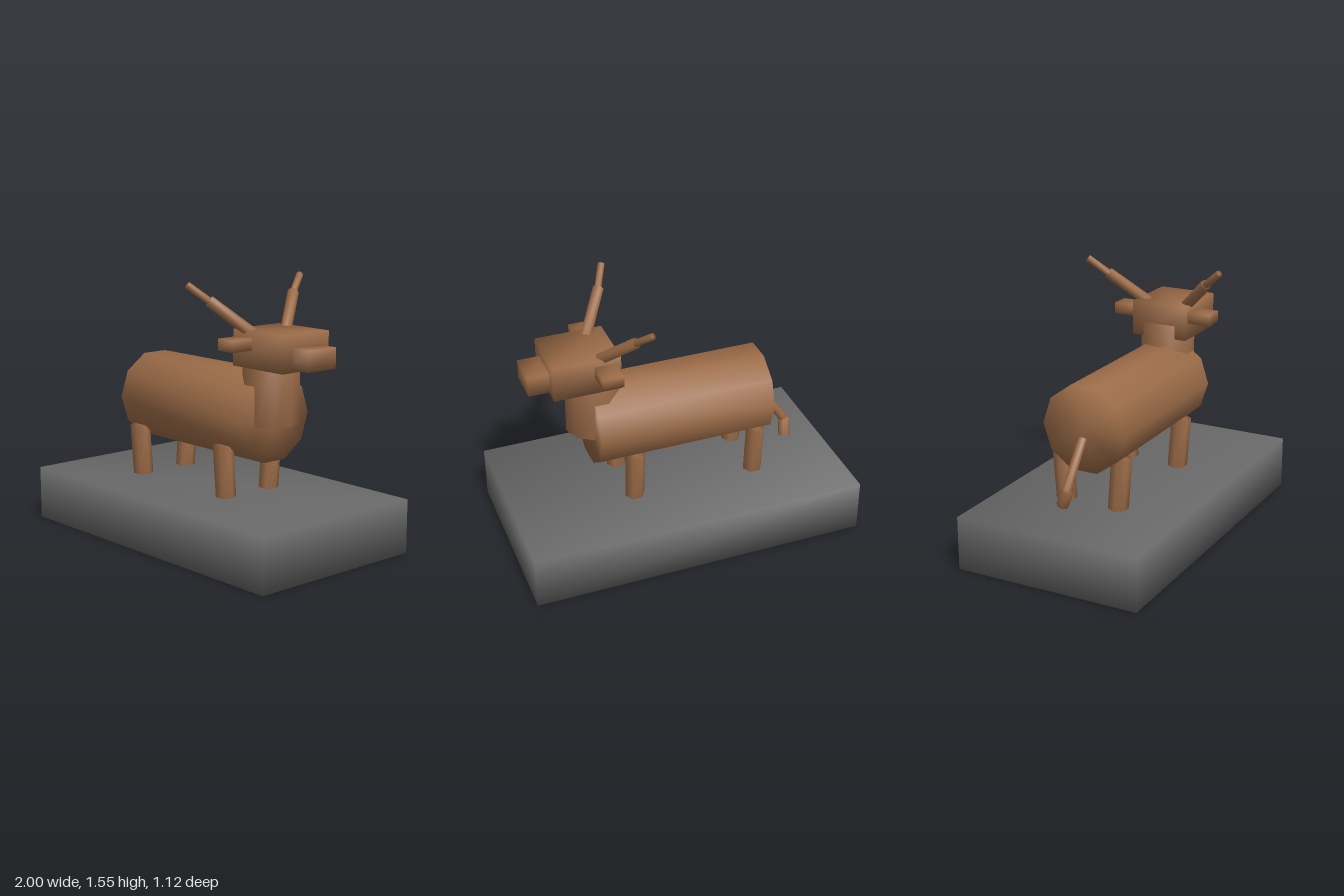
import * as THREE from 'three';
import { mergeVertices } from 'three/addons/utils/BufferGeometryUtils.js';

// Weld corners so low-poly solids shade smoothly across all edges
function smooth(geometry) {
  geometry.deleteAttribute('normal');
  geometry.deleteAttribute('uv');
  geometry.clearGroups();
  const welded = mergeVertices(geometry, 1e-4);
  welded.computeVertexNormals();
  return welded;
}

export function createModel() {
  const model = new THREE.Group();
  model.name = 'bullOnPlinth';
  const hide = new THREE.MeshStandardMaterial({ color: 0x9b6b47 });
  hide.name = 'brownHide';
  const stone = new THREE.MeshStandardMaterial({ color: 0x696969 });
  stone.name = 'greyStone';

  function add(name, geometry, material = hide) {
    const mesh = new THREE.Mesh(smooth(geometry), material);
    mesh.name = name;
    model.add(mesh);
    return mesh;
  }

  function box(name, size, center, material) {
    return add(name, new THREE.BoxGeometry(...size).translate(...center), material);
  }

  // Prism running from one point to another; spin turns its corners
  function rod(name, from, to, radius, sides, spin = 0) {
    const a = new THREE.Vector3(...from);
    const b = new THREE.Vector3(...to);
    const axis = b.clone().sub(a);
    const geometry = new THREE.CylinderGeometry(radius, radius, axis.length(), sides);
    geometry.rotateY(spin);
    const mesh = add(name, geometry);
    mesh.quaternion.setFromUnitVectors(new THREE.Vector3(0, 1, 0), axis.normalize());
    mesh.position.copy(a).add(b).multiplyScalar(0.5);
    return mesh;
  }

  // Plinth
  box('plinth', [2, 0.315, 1.12], [0, 0.1575, 0], stone);

  // Torso, neck, head and snout
  rod('body', [-0.56, 0.783, 0], [0.497, 0.783, 0], 0.26, 10);
  rod('neck', [0.465, 0.75, 0], [0.465, 1.16, 0], 0.162, 10, Math.PI / 2);
  box('head', [0.39, 0.205, 0.35], [0.54, 1.181, 0]);
  box('snout', [0.16, 0.116, 0.205], [0.78, 1.154, 0]);

  // Paired parts, mirrored across the body
  for (const side of [1, -1]) {
    const label = side > 0 ? 'Left' : 'Right';
    for (const [name, x] of [['front', 0.277], ['rear', -0.472]]) {
      rod(`${name}${label}Leg`, [x, 0.312, side * 0.166], [x, 0.622, side * 0.189], 0.059, 6, Math.PI / 2);
    }
    box(`ear${label}`, [0.122, 0.066, 0.16], [0.436, 1.213, side * 0.235]);
    rod(`hornBase${label}`, [0.45, 1.265, side * 0.128], [0.308, 1.445, side * 0.32], 0.033, 8);
    rod(`hornTip${label}`, [0.32, 1.428, side * 0.3], [0.252, 1.535, side * 0.428], 0.021, 8);
  }

  // Tail and tuft
  rod('tail', [-0.578, 0.738, 0], [-0.757, 0.485, 0], 0.027, 8);
  rod('tailTuft', [-0.752, 0.495, 0.006], [-0.742, 0.395, -0.036], 0.035, 8);

  return model;
}
